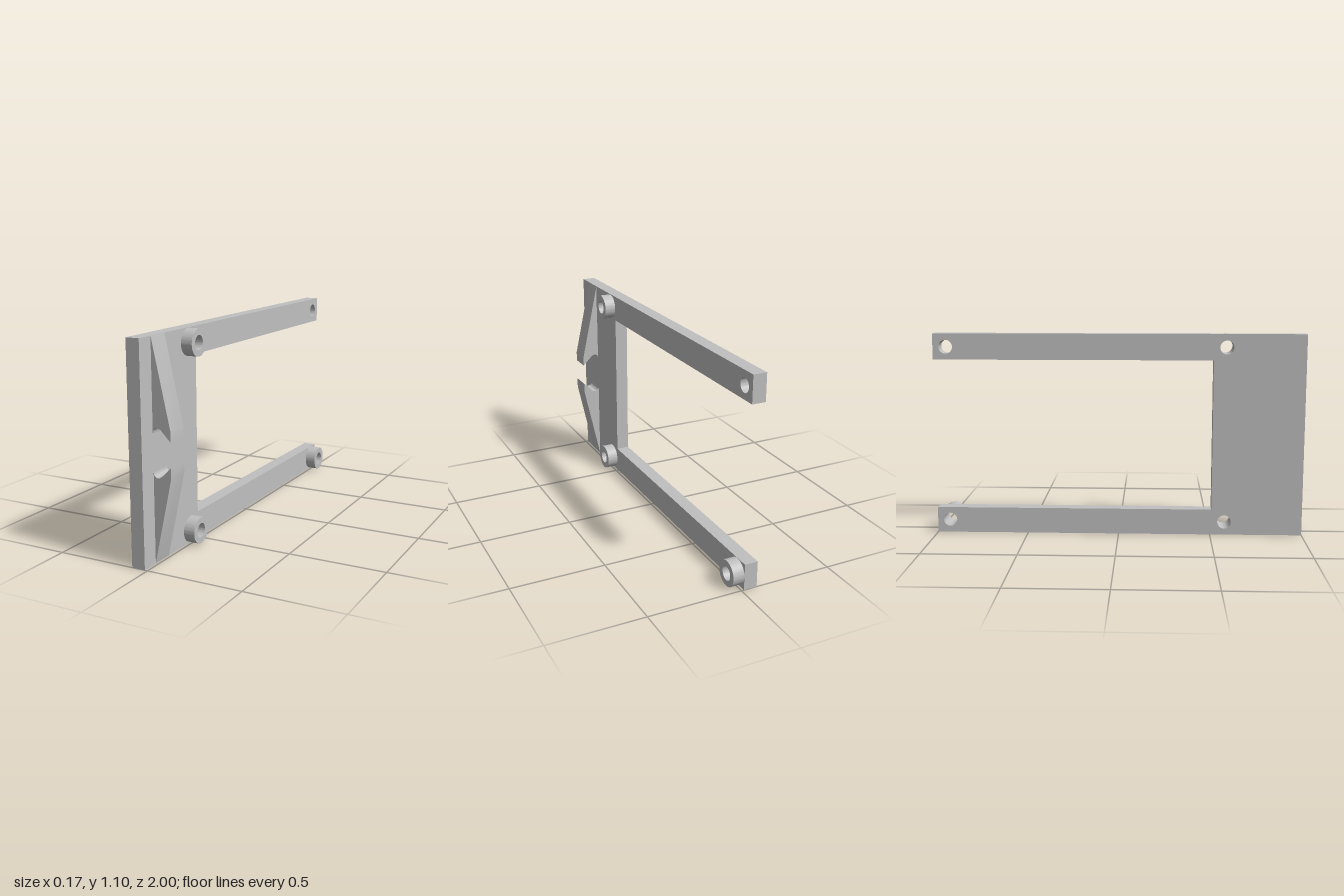
import * as THREE from 'three';
import { toCreasedNormals } from 'three/addons/utils/BufferGeometryUtils.js';

const HEIGHT = 1.096;
const BACK = -0.085;   // outer face of the plate
const FACE = -0.014;   // face carrying bosses and clips
const HOLE_R = 0.037;
const BOSS_R = 0.068;

function circlePath(u, v, r, Type = THREE.Path) {
  const path = new Type();
  path.absarc(u, v, r, 0, Math.PI * 2, false);
  return path;
}

// Extrudes a side outline drawn in (-z, y) along x
function extrudeAlongX(shape, x0, x1) {
  const geo = new THREE.ExtrudeGeometry(shape, {
    depth: x1 - x0, bevelEnabled: false, curveSegments: 32,
  });
  geo.rotateY(Math.PI / 2);
  geo.translate(x0, 0, 0);
  return toCreasedNormals(geo, 0.5);
}

export function createModel() {
  const group = new THREE.Group();
  const grey = new THREE.MeshStandardMaterial({ color: 0xc0c0c0 });
  grey.name = 'grey plastic';

  const add = (name, geo) => {
    const mesh = new THREE.Mesh(geo, grey);
    mesh.name = name;
    group.add(mesh);
    return mesh;
  };

  const lowY = 0.071, highY = HEIGHT - lowY;
  const frontZ = 0.578, rearZ = -0.931;
  const arm = 0.14;

  // C-shaped plate with four screw holes
  const plate = new THREE.Shape([
    [-1, 0], [1, 0], [1, arm], [-0.508, arm],
    [-0.508, HEIGHT - arm], [1, HEIGHT - arm], [1, HEIGHT], [-1, HEIGHT],
  ].map(([u, v]) => new THREE.Vector2(u, v)));
  for (const y of [lowY, highY]) {
    for (const z of [frontZ, rearZ]) plate.holes.push(circlePath(-z, y, HOLE_R));
  }
  add('mountingPlate', extrudeAlongX(plate, BACK, FACE));

  // Ring bosses around three of the holes
  const bosses = [
    ['lowerFrontBoss', frontZ, lowY],
    ['upperFrontBoss', frontZ, highY],
    ['lowerRearBoss', rearZ, lowY],
  ];
  for (const [name, z, y] of bosses) {
    const ring = circlePath(-z, y, BOSS_R, THREE.Shape);
    ring.holes.push(circlePath(-z, y, HOLE_R));
    add(name, extrudeAlongX(ring, FACE, 0.046));
  }

  // Pair of wedge clips with a rounded undercut behind each barbed tip
  for (const upper of [false, true]) {
    const y = (v) => (upper ? HEIGHT - v : v);
    const clip = new THREE.Shape();
    clip.moveTo(FACE, y(0));
    clip.lineTo(0.082, y(0.434));
    clip.lineTo(0.082, y(0.488));
    clip.lineTo(0.032, y(0.438));
    clip.quadraticCurveTo(0.021, y(0.428), 0.009, y(0.428));
    clip.bezierCurveTo(-0.004, y(0.428), FACE, y(0.438), FACE, y(0.456));
    clip.closePath();
    const geo = new THREE.ExtrudeGeometry(clip, {
      depth: 0.116, bevelEnabled: false, curveSegments: 10,
    });
    geo.translate(0, 0, 0.79);
    add(upper ? 'upperClip' : 'lowerClip', toCreasedNormals(geo, 0.5));
  }

  return group;
}
